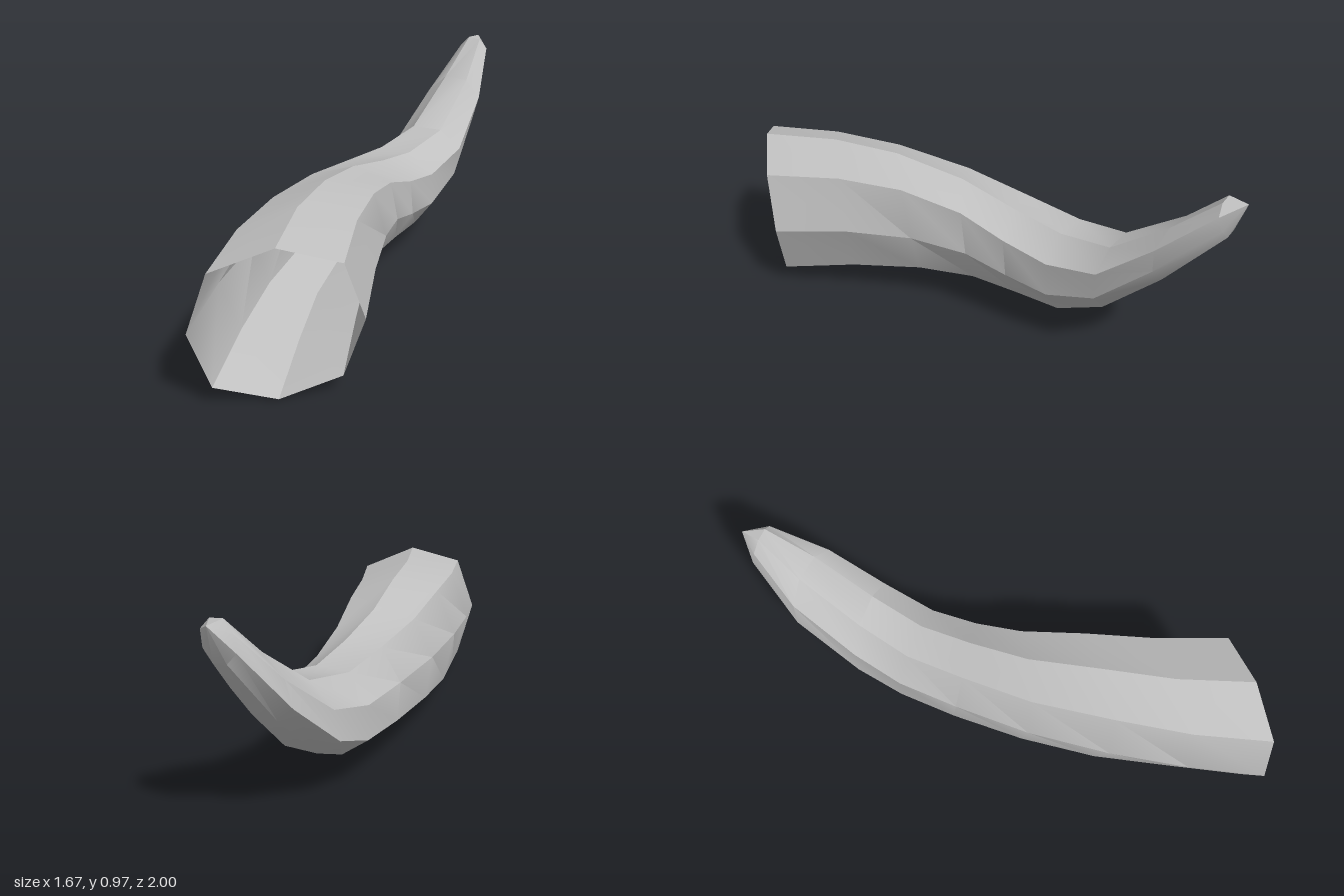
import * as THREE from 'three';
import { toCreasedNormals } from 'three/addons/utils/BufferGeometryUtils.js';

const SIDES = 8;

// Cross-sections from the open mouth to the tip: centre, up vector, side vector
const SECTIONS = [
  [[-0.48, 0.353, 0.97], [0, 0.352, 0.03], [0.352, 0, -0.005]],
  [[-0.36, 0.395, 0.63], [0, 0.325, 0.03], [0.33, 0, -0.01]],
  [[-0.225, 0.41, 0.315], [0.015, 0.3, 0.05], [0.295, -0.005, 0.005]],
  [[-0.07, 0.395, 0.025], [0.03, 0.255, 0.04], [0.24, -0.025, 0.045]],
  [[0.1, 0.365, -0.205], [0.04, 0.22, 0.05], [0.18, -0.05, 0.1]],
  [[0.265, 0.35, -0.4], [0.045, 0.195, 0.05], [0.15, -0.06, 0.125]],
  [[0.435, 0.42, -0.575], [0.075, 0.17, 0.045], [0.138, -0.05, 0.115]],
  [[0.62, 0.645, -0.78], [0.07, 0.145, 0.05], [0.095, -0.05, 0.11]],
  [[0.775, 0.885, -0.94], [0.025, 0.08, 0.04], [0.055, -0.035, 0.04]],
  [[0.82, 0.965, -1], [0, 0, 0], [0, 0, 0]],
];

// Eight corners of a section, from the top round by way of -x
function ring([centre, up, side]) {
  const points = [];
  for (let k = 0; k < SIDES; k++) {
    const angle = (k / SIDES) * Math.PI * 2;
    const swell = k % 2 ? 1.06 : 1; // slightly full diagonals
    points.push(new THREE.Vector3(...centre)
      .addScaledVector(new THREE.Vector3(...up), Math.cos(angle) * swell)
      .addScaledVector(new THREE.Vector3(...side), -Math.sin(angle) * swell));
  }
  return points;
}

// Skin joining neighbouring sections, closing to a point at the last one
function loft(sections) {
  const rings = sections.map(ring);
  const points = [];
  for (let i = 0; i < rings.length - 1; i++) {
    for (let k = 0; k < SIDES; k++) {
      const n = (k + 1) % SIDES;
      const [a, b] = [rings[i][k], rings[i][n]];
      const [d, c] = [rings[i + 1][k], rings[i + 1][n]];
      points.push(a, d, b);
      if (i < rings.length - 2) points.push(b, d, c);
    }
  }
  const geometry = new THREE.BufferGeometry().setFromPoints(points);
  return toCreasedNormals(geometry, 0.6);
}

export function createModel() {
  const group = new THREE.Group();
  group.name = 'hollowHorn';
  const grey = new THREE.MeshStandardMaterial({ color: 0xc0c0c0, side: THREE.DoubleSide });
  grey.name = 'grey';

  // Curved hollow horn, open at the wide end
  const shell = new THREE.Mesh(loft(SECTIONS), grey);
  shell.name = 'hornShell';
  group.add(shell);
  return group;
}
